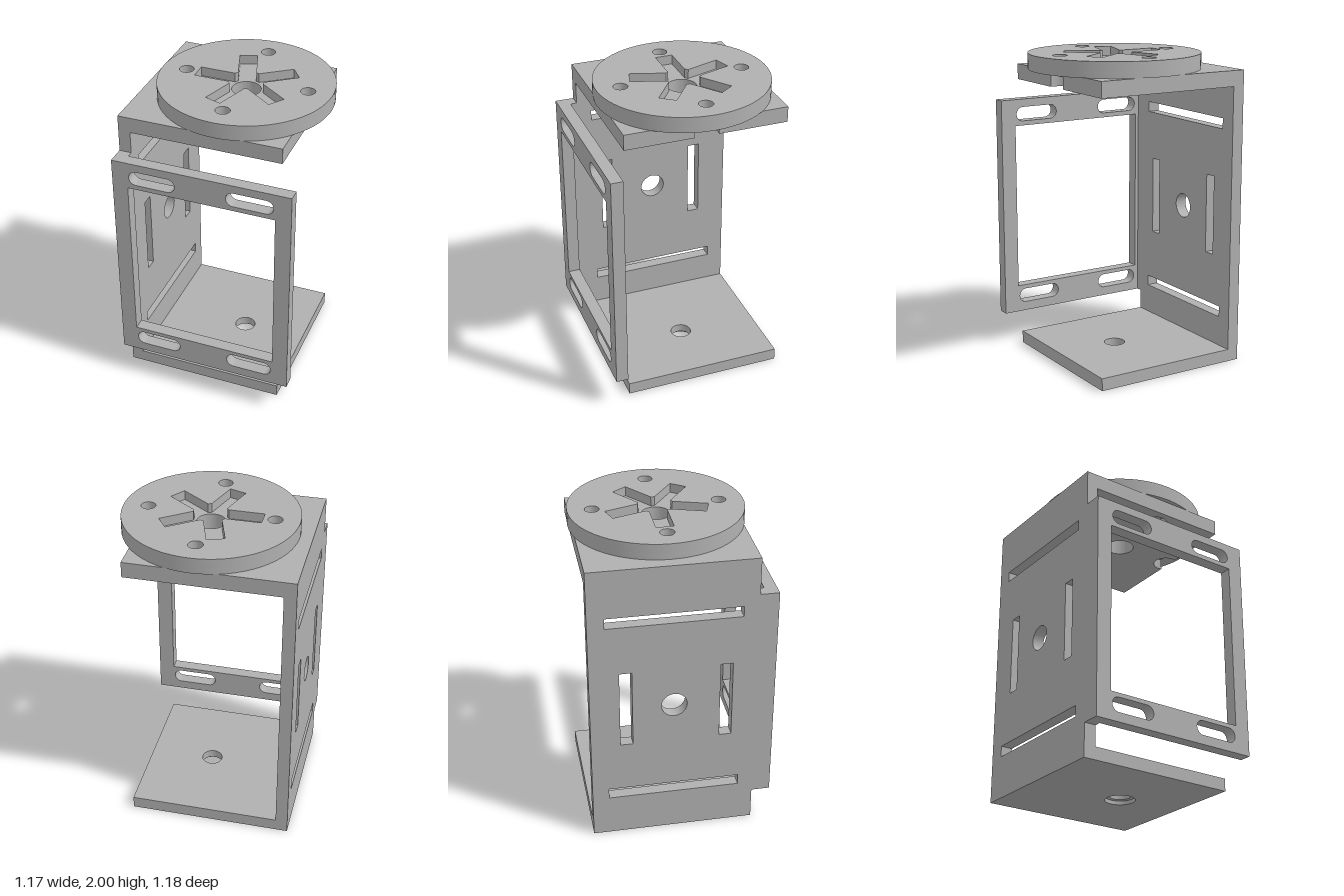
import * as THREE from 'three';
import { toCreasedNormals } from 'three/addons/utils/BufferGeometryUtils.js';

const CX = 0.037, CZ = -0.045; // shared axis of the disc and the plate holes

export function createModel() {
  const grey = new THREE.MeshStandardMaterial({ color: 0xb0b0b0 });
  grey.name = 'plainGrey';
  const model = new THREE.Group();
  model.name = 'servoBracket';

  // --- outline helpers ---
  const rect = (C, x0, y0, x1, y1) =>
    new C([[x0, y0], [x1, y0], [x1, y1], [x0, y1]].map(p => new THREE.Vector2(...p)));
  const rectHole = (...a) => rect(THREE.Path, ...a);
  const hole = (x, y, r) => new THREE.Path().absarc(x, y, r, 0, Math.PI * 2, true);
  const roundSlot = (x0, y0, x1, y1) => {
    const r = (y1 - y0) / 2, y = (y0 + y1) / 2;
    const p = new THREE.Path();
    p.absarc(x1 - r, y, r, -Math.PI / 2, Math.PI / 2, false);
    p.absarc(x0 + r, y, r, Math.PI / 2, Math.PI * 1.5, false);
    return p;
  };

  // Extrude from 'from' to 'to' along z, x (shape x = -z) or y (shape y = -z)
  function add(name, shape, holes, axis, from, to) {
    shape.holes.push(...holes);
    let geo = new THREE.ExtrudeGeometry(shape, { depth: to - from, bevelEnabled: false, curveSegments: 32 });
    geo.translate(0, 0, from);
    if (axis === 'x') geo.rotateY(Math.PI / 2);
    if (axis === 'y') geo.rotateX(-Math.PI / 2);
    geo = toCreasedNormals(geo, Math.PI / 6);
    const mesh = new THREE.Mesh(geo, grey);
    mesh.name = name;
    model.add(mesh);
  }

  // Upright side plate with slots and a central hole
  add('sidePlate', rect(THREE.Shape, -0.47, 0, 0.565, 1.9), [
    rectHole(-0.375, 1.52, 0.46, 1.588),
    rectHole(-0.375, 0.275, 0.46, 0.345),
    rectHole(-0.32, 0.68, -0.243, 1.2),
    rectHole(0.302, 0.68, 0.38, 1.2),
    hole(0.042, 0.94, 0.08),
  ], 'x', -0.585, -0.508);

  // Bottom plate: wide recess below, narrower bore above
  [[0, 0.025, 0.095], [0.025, 0.08, 0.067]].forEach(([y0, y1, r], i) =>
    add(i ? 'bottomPlate' : 'bottomPlateRecess', rect(THREE.Shape, -0.508, -0.47, 0.452, 0.565),
      [hole(CX, -CZ, r)], 'y', y0, y1));

  // Top plate: screw head recesses below, screw bores above; one breaks the free edge
  const R = 0.392;
  [[1.8, 1.875, 0.08], [1.875, 1.9, 0.045]].forEach(([y0, y1, r], i) => {
    const hx = CX + R, a = Math.acos((0.452 - hx) / r);
    const s = new THREE.Shape();
    s.moveTo(-0.508, -0.47);
    s.lineTo(0.452, -0.47);
    s.absarc(hx, -CZ, r, -a, a, true);
    s.lineTo(0.452, 0.565);
    s.lineTo(-0.508, 0.565);
    s.closePath();
    add(i ? 'topPlate' : 'topPlateRecesses', s, [
      hole(CX, -CZ, 0.09),
      hole(CX - R, -CZ, r),
      hole(CX, -CZ + R, r),
      hole(CX, -CZ - R, r),
    ], 'y', y0, y1);
  });

  // Front frame and the strip joining it to the side plate
  add('frontFrame', rect(THREE.Shape, -0.585, 0.21, 0.555, 1.66), [
    rectHole(-0.485, 0.39, 0.455, 1.485),
    ...[0.27, 1.515].flatMap(y => [
      roundSlot(-0.475, y, -0.178, y + 0.093),
      roundSlot(0.147, y, 0.445, y + 0.093),
    ]),
  ], 'z', 0.51, 0.588);
  add('frameStrip', rect(THREE.Shape, -0.585, 0.21, -0.508, 1.66), [], 'z', 0.47, 0.51);

  // Round disc with four screw holes and a five-armed pocket in its upper layer
  const star = new THREE.Path();
  const arm = [[0.095, -0.055], [0.318, -0.055], [0.318, 0.055], [0.095, 0.055]];
  const starPoints = [];
  for (let k = 0; k < 5; k++) {
    const t = Math.PI + k * Math.PI * 0.4, c = Math.cos(t), s = Math.sin(t);
    for (const [u, v] of arm)
      starPoints.push(new THREE.Vector2(CX + u * c - v * s, -CZ + u * s + v * c));
  }
  star.setFromPoints(starPoints);
  [[1.9, 1.94, hole(CX, -CZ, 0.09)], [1.94, 2, star]].forEach(([y0, y1, centre], i) => {
    const s = new THREE.Shape();
    s.absarc(CX, -CZ, 0.544, 0, Math.PI * 2, false);
    const screws = [0, 1, 2, 3].map(k =>
      hole(CX + R * Math.cos(k * Math.PI / 2), -CZ + R * Math.sin(k * Math.PI / 2), 0.045));
    add(i ? 'discPocketLayer' : 'discFloor', s, [centre, ...screws], 'y', y0, y1);
  });

  return model;
}
